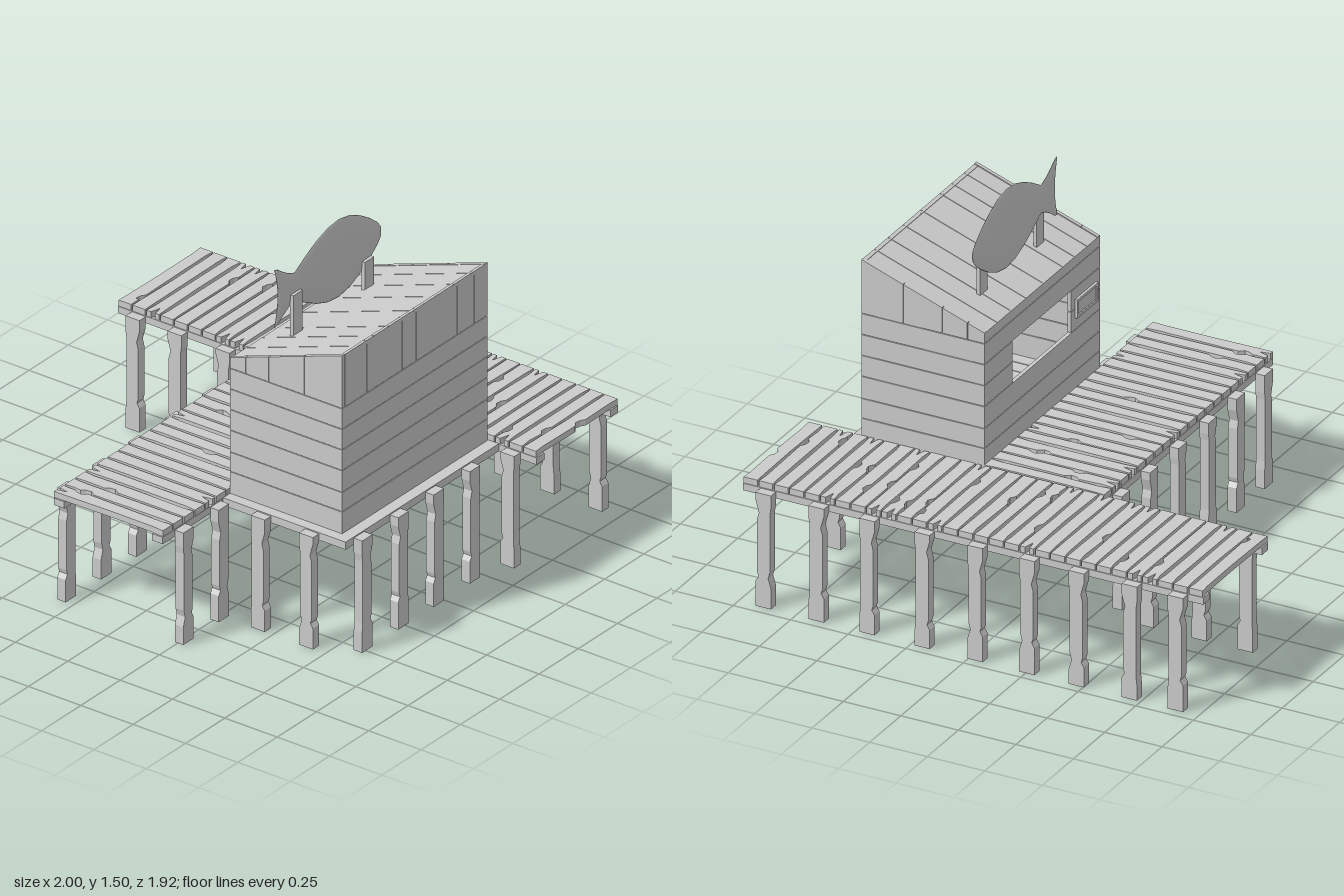
import * as THREE from 'three';

const mat = new THREE.MeshStandardMaterial({ color: 0xcccccc, side: THREE.DoubleSide });
let seed = 7;
const rnd = () => (seed = (seed * 16807) % 2147483647) / 2147483647;

function group(parent, name) {
  const g = new THREE.Group();
  g.name = name;
  parent.add(g);
  return g;
}

function add(parent, name, geometry) {
  const m = new THREE.Mesh(geometry, mat);
  m.name = name;
  parent.add(m);
  return m;
}

// Box given by its lower and upper limits on each axis
function box(parent, name, x0, x1, y0, y1, z0, z1) {
  add(parent, name, new THREE.BoxGeometry(x1 - x0, y1 - y0, z1 - z0))
    .position.set((x0 + x1) / 2, (y0 + y1) / 2, (z0 + z1) / 2);
}

function extrude(points, depth) {
  const shape = new THREE.Shape(points.map(([x, y]) => new THREE.Vector2(x, y)));
  return new THREE.ExtrudeGeometry(shape, { depth, bevelEnabled: false });
}

// Weathered deck plank: wavy long edges, a bite out of one side, a split at one end
function plankGeometry(length, width, thick) {
  const h = length / 2, w = width / 2, bite = (rnd() - 0.5) * 1.5 * h;
  const chip = rnd() < 0.45;
  const side = (s, bitten) => {
    const pts = [[s * w, -h], [s * (w - rnd() * 0.006), -h * 0.8]];
    if (bitten) pts.push([s * w, bite - 0.035], [s * (w - 0.016), bite - 0.012],
      [s * (w - 0.012), bite + 0.012], [s * w, bite + 0.03]);
    else pts.push([s * (w - rnd() * 0.007), 0]);
    pts.push([s * (w - rnd() * 0.006), h * 0.82], [s * w, h]);
    return pts;
  };
  const right = side(1, rnd() < 0.4), left = side(-1, rnd() < 0.25).reverse();
  const split = chip ? [[0.008, h], [-0.004, h - 0.045], [-0.012, h]] : [];
  const g = extrude([...right, ...split, ...left], thick);
  if (rnd() < 0.5) g.rotateZ(Math.PI);
  return g.rotateX(-Math.PI / 2);
}

// Worn post: full width at the ends with gouges along the sides
function post(parent, x, z, alongZ) {
  const w = 0.033, top = 0.488, a = 0.1 + rnd() * 0.04, b = 0.38 + rnd() * 0.04;
  const d = rnd() < 0.5 ? 0.012 : 0.004;
  const g = extrude([
    [-w, 0], [w, 0], [w, a - 0.04], [w - d, a], [w - 0.004, a + 0.03], [w - 0.004, b], [w, b + 0.03], [w, top],
    [-w, top], [-w, b + 0.05], [-w + 0.014, b], [-w + 0.006, b - 0.03], [-w + 0.006, a + 0.02],
    [-w + 0.012, a], [-w, a - 0.02],
  ], 0.04).translate(0, 0, -0.02);
  if (rnd() < 0.5) g.rotateY(Math.PI);
  if (alongZ) g.rotateY(Math.PI / 2);
  add(parent, 'post', g).position.set(x, 0, z);
}

function buildDecks(root) {
  // Rear deck, planks running front to back
  const rear = group(root, 'rearDeck');
  for (let i = 0; i < 30; i++)
    add(rear, 'plank', plankGeometry(0.52, 0.06, 0.026)).position.set(-0.967 + i * 0.0667, 0.492, -0.66);
  box(rear, 'beam', -1, 1, 0.46, 0.49, -0.92, -0.87);
  box(rear, 'beam', -1, 1, 0.46, 0.49, -0.45, -0.4);
  for (const x of [-0.9, -0.7, -0.47, -0.255, -0.03, 0.2, 0.44, 0.66, 0.89]) post(rear, x, -0.94, false);
  for (const x of [-0.9, -0.7, -0.47, 0.89]) post(rear, x, -0.38, false);

  // Walkway, planks running side to side
  const walk = group(root, 'walkway');
  for (let i = 0; i < 20; i++)
    add(walk, 'plank', plankGeometry(0.52, 0.06, 0.026).rotateY(Math.PI / 2))
      .position.set(-0.025, 0.492, -0.366 + i * 0.0681);
  box(walk, 'beam', -0.285, -0.235, 0.46, 0.49, -0.4, 0.96);
  box(walk, 'beam', 0.185, 0.235, 0.46, 0.49, -0.4, 0.96);
  for (const z of [-0.295, -0.07, 0.16, 0.4, 0.625, 0.85]) post(walk, -0.306, z, true);
  for (const z of [0.625, 0.85]) post(walk, 0.256, z, true);

  // Hut platform: frame, floor and posts
  const base = group(root, 'hutPlatform');
  box(base, 'beam', 0.77, 0.82, 0.46, 0.493, -0.4, 0.575);
  box(base, 'beam', 0.235, 0.77, 0.46, 0.493, 0.525, 0.575);
  for (let i = 0; i < 14; i++) {
    const z = -0.398 + i * 0.0659;
    box(base, 'floorBoard', 0.235, 0.77, 0.472, 0.492, z, z + 0.062);
  }
  for (const z of [-0.195, 0.035, 0.26, 0.49]) post(base, 0.84, z, true);
  for (const x of [0.43, 0.66]) post(base, x, 0.594, false);
}

const X0 = 0.235, X1 = 0.77, Z0 = -0.395, Z1 = 0.53, T = 0.016, GAP = 0.003;
const roofY = x => 1.085 + (x - X0) * 0.346;

function buildHut(root) {
  const hut = group(root, 'hut');
  // Horizontal wall boards, leaving the serving hatch open
  const rows = [0.492, 0.59, 0.675, 0.77, 0.86, 0.95, 1.04];
  for (let i = 0; i < 6; i++) {
    const a = rows[i], b = rows[i + 1] - GAP;
    box(hut, 'endBoard', X0, X1, a, b, Z1 - T, Z1);
    box(hut, 'endBoard', X0, X1, a, b, Z0, Z0 + T);
    box(hut, 'highWallBoard', X1 - T, X1, a, b, Z0 + T, Z1 - T);
    const spans = i === 3 || i === 4 ? [[Z0 + T, -0.17], [0.3, Z1 - T]] : [[Z0 + T, Z1 - T]];
    for (const [s, e] of spans) box(hut, 'hatchWallBoard', X0, X0 + T, a, b, s, e);
  }
  box(hut, 'hatchHeader', X0, X0 + T, 1.04, 1.083, Z0 + T, Z1 - T);

  // Upright boards under the sloping eaves of both ends
  const xs = [X0, 0.31, 0.42, 0.59, X1];
  for (let i = 0; i < 4; i++) {
    const a = xs[i], b = xs[i + 1] - (i < 3 ? GAP : 0);
    for (const z of [Z0, Z1 - T])
      add(hut, 'gableBoard', extrude([[a, 1.04], [b, 1.04], [b, roofY(b)], [a, roofY(a)]], T)).position.z = z;
  }
  // Upright boards at the top of the high wall
  const zs = [Z0 + T, -0.31, -0.2, 0.06, 0.15, 0.24, 0.375, Z1 - T];
  for (let i = 0; i < 7; i++)
    box(hut, 'highWallUpright', X1 - T, X1, 1.04, roofY(X1 - T), zs[i], zs[i + 1] - GAP);

  // Sloping roof boards set between the ends
  const rz = [Z0 + T, -0.29, -0.18, -0.06, 0.08, 0.235, 0.33, 0.43, Z1 - T];
  const profile = [[X0, roofY(X0) - 0.018], [X1, roofY(X1) - 0.018], [X1, roofY(X1) - 0.002], [X0, roofY(X0) - 0.002]];
  for (let i = 0; i < 8; i++)
    add(hut, 'roofBoard', extrude(profile, rz[i + 1] - rz[i] - GAP)).position.z = rz[i];

  // Framed notice panel beside the hatch
  const panel = group(hut, 'noticePanel');
  box(panel, 'panelBack', 0.229, X0, 0.825, 0.895, 0.34, 0.49);
  for (const y of [0.82, 0.888]) box(panel, 'panelRail', 0.224, X0, y, y + 0.012, 0.33, 0.5);
  for (const z of [0.33, 0.488]) box(panel, 'panelStile', 0.224, X0, 0.832, 0.888, z, z + 0.012);
}

// Rooftop fish lofted from elliptical sections: [z, half height, half thickness, tail sweep]
function buildFish(root) {
  const fish = group(root, 'rooftopFish');
  const sections = [
    [-0.27, 0, 0, 0], [-0.265, 0.025, 0.004, 0], [-0.245, 0.05, 0.006, 0], [-0.2, 0.086, 0.008, 0],
    [-0.14, 0.125, 0.01, 0], [-0.07, 0.157, 0.01, 0], [0, 0.17, 0.01, 0], [0.07, 0.162, 0.01, 0],
    [0.14, 0.138, 0.01, 0], [0.21, 0.102, 0.009, 0], [0.28, 0.06, 0.008, 0], [0.315, 0.075, 0.007, 0.005],
    [0.345, 0.098, 0.006, 0.012], [0.37, 0.122, 0.006, 0.02], [0.382, 0.127, 0.005, 0.027], [0.384, 0.126, 0, 0.027],
  ];
  const N = 32, pos = [], idx = [];
  sections.forEach(([z, h, w, sweep], i) => {
    for (let j = 0; j < N; j++) {
      const t = (j / N) * Math.PI * 2, c = Math.cos(t);
      pos.push(w * Math.sin(t), h * c, z + sweep * c * c);
      if (i === sections.length - 1) continue;
      const a = i * N + j, d = i * N + (j + 1) % N;
      idx.push(a, a + N, d, d, a + N, d + N);
    }
  });
  const g = new THREE.BufferGeometry();
  g.setAttribute('position', new THREE.Float32BufferAttribute(pos, 3));
  g.setIndex(idx);
  g.computeVertexNormals();
  add(fish, 'fishBody', g).position.set(0.355, 1.325, 0);
  // Stakes holding the fish to the roof
  box(fish, 'stake', 0.36, 0.375, 1.11, 1.305, 0.255, 0.315);
  box(fish, 'stake', 0.36, 0.375, 1.11, 1.25, -0.2, -0.14);
}

export function createModel() {
  seed = 7;
  const root = new THREE.Group();
  root.name = 'pierHut';
  buildDecks(root);
  buildHut(root);
  buildFish(root);
  return root;
}
